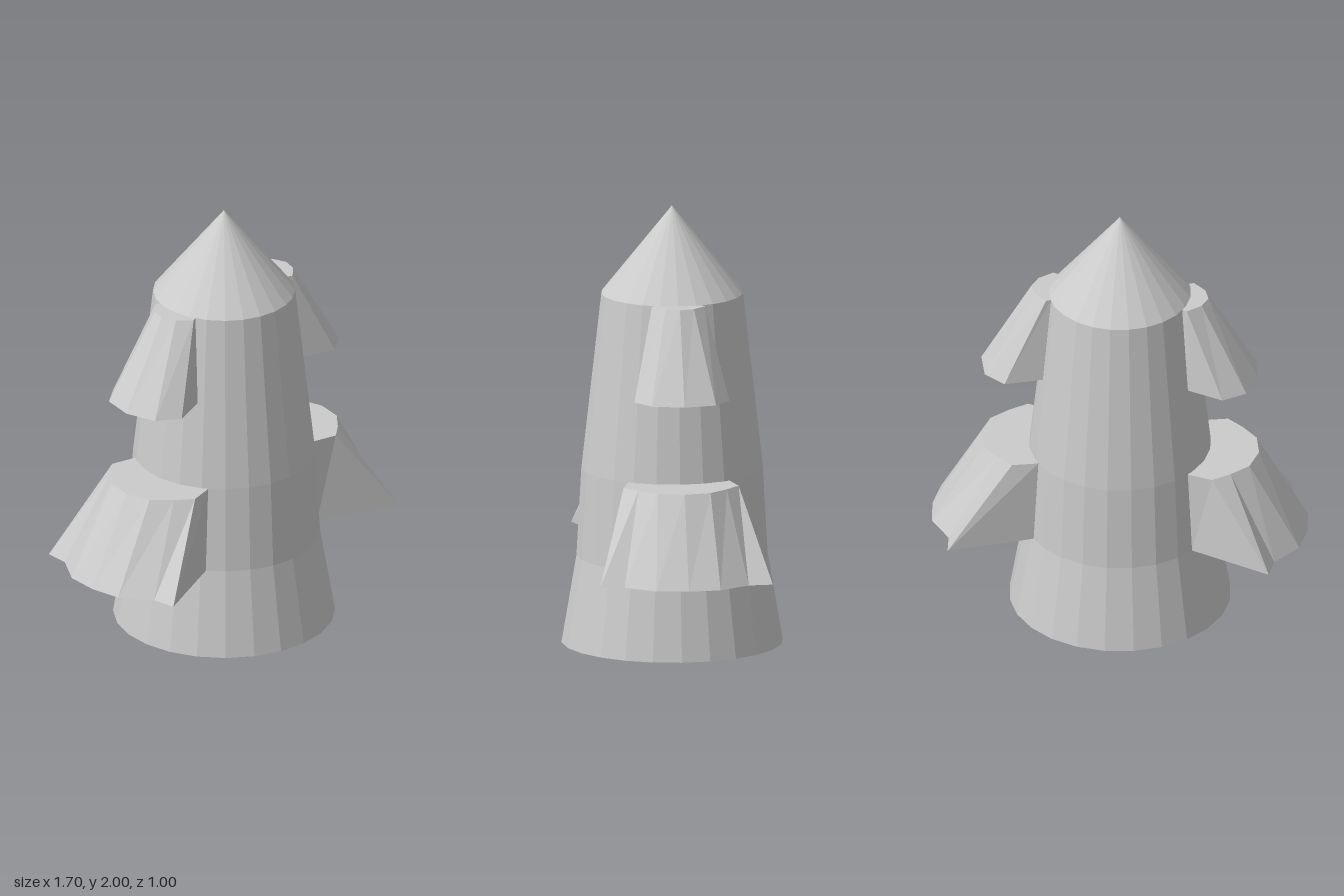
import * as THREE from 'three';

const material = new THREE.MeshStandardMaterial({ color: 0xcccccc, flatShading: true });
const SIDES = 24;

// Mirrors half an outline of [x, z] points (rear corner to middle) across z = 0.
function mirrorOutline(half) {
  const front = half.slice(0, -1).reverse().map(([x, z]) => [x, -z]);
  return [...half, ...front];
}

// Closed solid between a bottom and a top outline with equal point counts.
function loftFin(y0, y1, lowerHalf, upperHalf) {
  const rings = [[y0, mirrorOutline(lowerHalf)], [y1, mirrorOutline(upperHalf)]];
  const n = rings[0][1].length;
  const positions = [];
  for (const [y, ring] of rings) {
    for (const [x, z] of ring) positions.push(x, y, z);
  }
  for (const [y, ring] of rings) {
    positions.push(ring.reduce((sum, p) => sum + p[0], 0) / n, y, 0);
  }
  const index = [];
  for (let i = 0; i < n; i++) {
    const j = (i + 1) % n;
    index.push(i, n + i, j, j, n + i, n + j); // wall
    index.push(2 * n, i, j, 2 * n + 1, n + j, n + i); // bottom and top caps
  }
  const geometry = new THREE.BufferGeometry();
  geometry.setAttribute('position', new THREE.Float32BufferAttribute(positions, 3));
  geometry.setIndex(index);
  const flat = geometry.toNonIndexed();
  flat.computeVertexNormals();
  return flat;
}

export function createModel() {
  const model = new THREE.Group();
  const add = (name, geometry) => {
    const mesh = new THREE.Mesh(geometry, material);
    mesh.name = name;
    model.add(mesh);
    return mesh;
  };

  // Tapered tower body with a closed base
  const profile = [[0, 0], [0.5, 0], [0.432, 0.4], [0.41, 0.8], [0.365, 1.2], [0.32, 1.6]];
  add('body', new THREE.LatheGeometry(profile.map(([r, y]) => new THREE.Vector2(r, y)), SIDES));

  // Pointed roof
  const roof = new THREE.ConeGeometry(0.32, 0.4, SIDES);
  roof.translate(0, 1.8, 0);
  add('roof', roof);

  // Flared fins, one of each on either side
  const fins = {
    LowerFin: loftFin(0.4, 0.8,
      [[0.36, -0.235], [0.73, -0.39], [0.74, -0.28], [0.835, -0.145], [0.852, 0]],
      [[0.34, -0.23], [0.455, -0.26], [0.53, -0.2], [0.605, -0.12], [0.632, 0]]),
    UpperFin: loftFin(1.2, 1.6,
      [[0.33, -0.155], [0.495, -0.215], [0.595, -0.145], [0.63, 0]],
      [[0.298, -0.11], [0.32, -0.12], [0.38, -0.065], [0.402, 0]]),
  };
  for (const [name, geometry] of Object.entries(fins)) {
    add('left' + name, geometry);
    add('right' + name, geometry).rotation.y = Math.PI;
  }
  return model;
}
